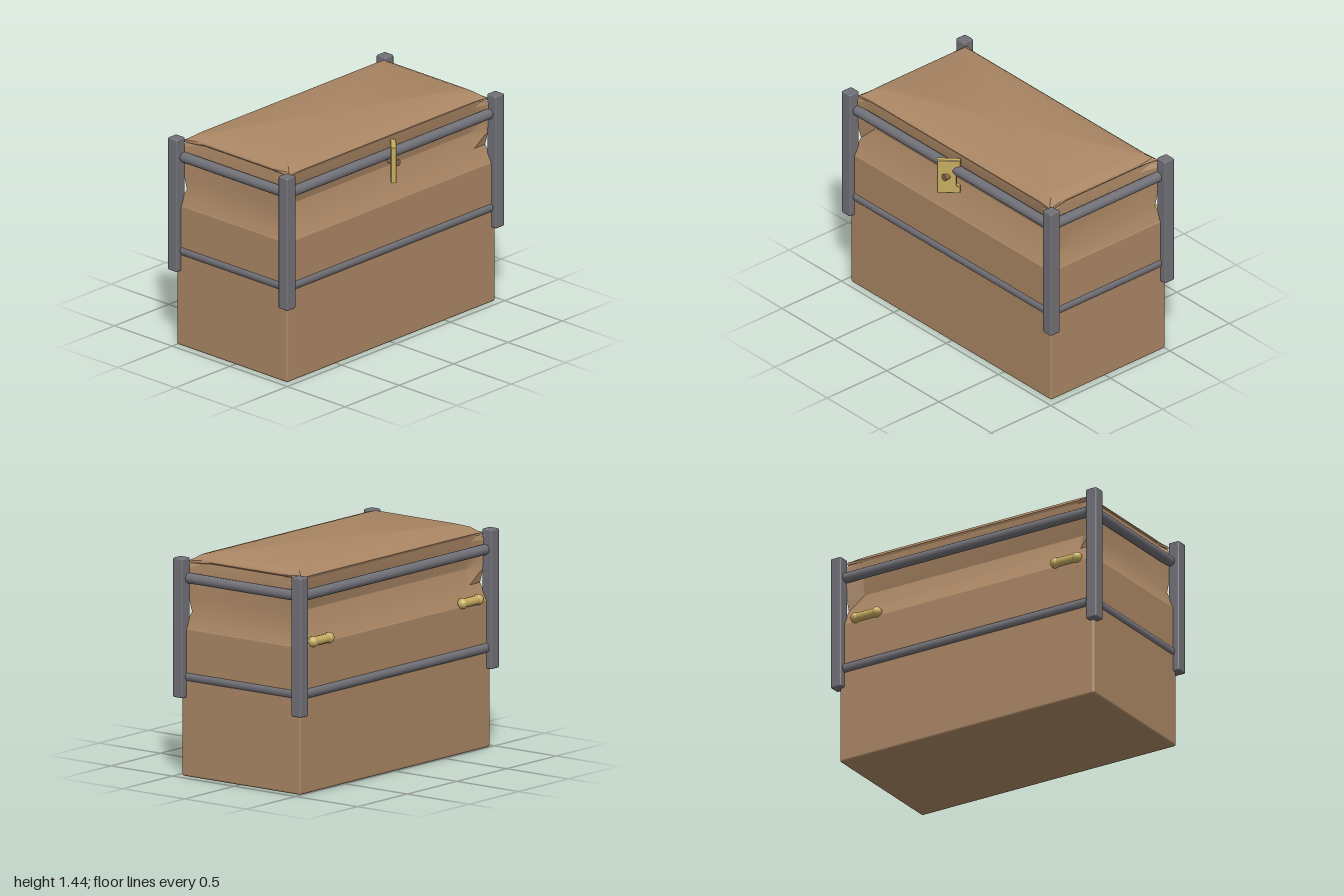
import * as THREE from 'three';
import { toCreasedNormals } from 'three/addons/utils/BufferGeometryUtils.js';
import { RoundedBoxGeometry } from 'three/addons/geometries/RoundedBoxGeometry.js';

const mat = (name, color) => {
  const m = new THREE.MeshStandardMaterial({ color });
  m.name = name;
  return m;
};

// Stack of twelve-sided loops; each level is [y, mid half x, mid half z, corner half x, corner half z].
function shell(levels, xi, zi) {
  const pos = [], idx = [], n = 12;
  for (const [y, mx, mz, cx, cz] of levels) {
    const loop = [
      [mx, zi], [mx, -zi], [cx, -cz], [xi, -mz], [-xi, -mz], [-cx, -cz],
      [-mx, -zi], [-mx, zi], [-cx, cz], [-xi, mz], [xi, mz], [cx, cz],
    ];
    for (const [x, z] of loop) pos.push(x, y, z);
  }
  for (let l = 0; l < levels.length - 1; l++) {
    for (let i = 0; i < n; i++) {
      const a = l * n + i, b = l * n + (i + 1) % n;
      idx.push(a, b, b + n, a, b + n, a + n);
    }
  }
  // Caps at the top and bottom
  const last = (levels.length - 1) * n;
  pos.push(0, levels[levels.length - 1][0], 0, 0, levels[0][0], 0);
  const top = levels.length * n;
  for (let i = 0; i < n; i++) {
    const j = (i + 1) % n;
    idx.push(top, last + i, last + j, top + 1, j, i);
  }
  const g = new THREE.BufferGeometry();
  g.setAttribute('position', new THREE.Float32BufferAttribute(pos, 3));
  g.setIndex(idx);
  return toCreasedNormals(g, 0.38);
}

export function createModel() {
  const model = new THREE.Group();
  const tan = mat('tan', 0xaa8664);
  const steel = mat('grey metal', 0x707077);
  const brass = mat('brass', 0xc6ac60);
  const brown = mat('brown', 0x8a6a4c);

  const add = (name, geo, material, x = 0, y = 0, z = 0, parent = model) => {
    const m = new THREE.Mesh(geo, material);
    m.name = name;
    m.position.set(x, y, z);
    parent.add(m);
    return m;
  };
  const zc = -0.02;

  // Lower box
  add('box', new RoundedBoxGeometry(1.915, 0.96, 0.96, 2, 0.015), tan, 0, 0.48, zc);

  // Pinched neck flaring out again under the lid, with folded corners
  add('neck', shell([
    [0.95, 0.955, 0.478, 0.955, 0.478],
    [1.0, 0.935, 0.452, 0.935, 0.452],
    [1.06, 0.918, 0.424, 0.922, 0.424],
    [1.16, 0.905, 0.395, 0.925, 0.45],
    [1.27, 0.905, 0.418, 0.932, 0.462],
    [1.34, 0.9, 0.432, 0.93, 0.46],
    [1.38, 0.895, 0.436, 0.9, 0.44],
  ], 0.82, 0.32), tan, 0, 0, zc);

  // Lid with a thin lip and a bevelled crown
  add('lid', shell([
    [1.372, 0.89, 0.435, 0.915, 0.452],
    [1.388, 0.9, 0.442, 0.915, 0.452],
    [1.4, 0.895, 0.43, 0.89, 0.432],
    [1.425, 0.865, 0.4, 0.86, 0.395],
    [1.438, 0.83, 0.35, 0.825, 0.345],
  ], 0.8, 0.3), tan, 0, 0, zc);

  // Corner posts
  for (const x of [-0.96, 0.96]) {
    for (const z of [0.46, -0.5]) {
      add('cornerPost', new RoundedBoxGeometry(0.08, 0.9, 0.08, 2, 0.01), steel, x, 0.96, z);
    }
  }

  // Two rings of round rails
  for (const y of [0.645, 1.278]) {
    for (const z of [0.44, -0.486]) {
      const r = add('longRail', new THREE.CylinderGeometry(0.034, 0.034, 1.9, 16), steel, 0, y, z);
      r.rotation.z = Math.PI / 2;
    }
    for (const x of [-0.935, 0.935]) {
      const r = add('sideRail', new THREE.CylinderGeometry(0.034, 0.034, 0.94, 16), steel, x, y, zc);
      r.rotation.x = Math.PI / 2;
    }
  }

  // Hinges: barrel with collars and ball ends
  for (const side of [-1, 1]) {
    const hinge = new THREE.Group();
    hinge.name = 'hinge';
    hinge.position.set(side * 0.752, 0.972, -0.505);
    const barrel = add('barrel', new THREE.CylinderGeometry(0.029, 0.029, 0.17, 16), brass, 0, 0, 0, hinge);
    barrel.rotation.z = Math.PI / 2;
    for (const e of [-1, 1]) {
      add('ballEnd', new THREE.SphereGeometry(0.035, 16, 12), brass, e * 0.079, 0, 0, hinge);
    }
    model.add(hinge);
  }

  // Turned clasp plate with a notched edge
  const clasp = new THREE.Group();
  clasp.name = 'clasp';
  clasp.position.set(0, 1.235, 0.478);
  const outline = new THREE.Shape([
    [-0.075, -0.12], [0.075, -0.12], [0.075, -0.075], [0.05, -0.06],
    [0.05, 0.02], [0.075, 0.08], [0.075, 0.12], [-0.075, 0.12],
  ].map(([x, y]) => new THREE.Vector2(x, y)));
  const plate = new THREE.ExtrudeGeometry(outline, {
    depth: 0.03, bevelThickness: 0.004, bevelSize: 0.004, bevelOffset: -0.004, bevelSegments: 1,
  }).translate(0, 0, -0.015);
  add('claspPlate', plate, brass, 0, 0, 0, clasp).rotation.y = Math.PI / 4;
  const stud = add('claspStud', new THREE.CylinderGeometry(0.022, 0.022, 0.08, 16), brown, 0, 0, 0.002, clasp);
  stud.rotation.x = Math.PI / 2;
  model.add(clasp);

  return model;
}
